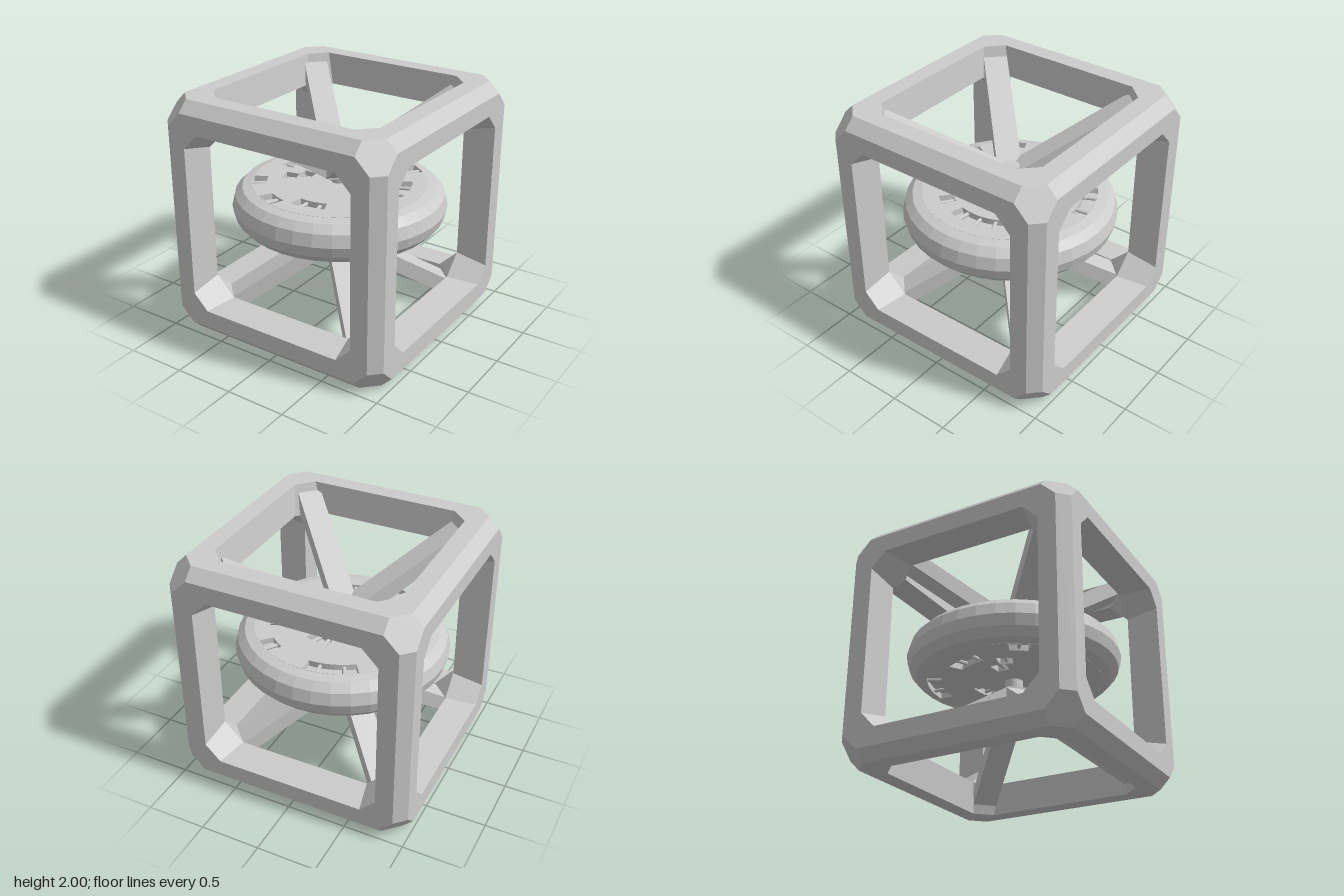
import * as THREE from 'three';

const mat = new THREE.MeshStandardMaterial({ color: 0xcccccc, flatShading: true });
const DEG = Math.PI / 180;

function addMesh(parent, name, geometry, x = 0, y = 0, z = 0) {
  const mesh = new THREE.Mesh(geometry, mat);
  mesh.name = name;
  mesh.position.set(x, y, z);
  parent.add(mesh);
  return mesh;
}

// Chamfered cube frame with an octagonal window through every side
function frameGeometry() {
  const out = [];
  // adds a convex polygon turned to face the direction "facing"
  const poly = (pts, facing) => {
    const v = pts.map((p) => new THREE.Vector3(...p));
    const n = v[1].clone().sub(v[0]).cross(v[2].clone().sub(v[0]));
    if (n.dot(new THREE.Vector3(...facing)) < 0) v.reverse();
    for (let i = 1; i < v.length - 1; i++) {
      for (const p of [v[0], v[i], v[i + 1]]) out.push(p.x, p.y, p.z);
    }
  };
  // puts (a, b, c) on the axes k, k+1, k+2
  const onAxis = (k, a, b, c) => {
    const p = [0, 0, 0];
    p[k] = a; p[(k + 1) % 3] = b; p[(k + 2) % 3] = c;
    return p;
  };
  const octagon = (k, h, a, b) =>
    [[a, b], [b, a], [-b, a], [-a, b], [-a, -b], [-b, -a], [b, -a], [a, -b]]
      .map(([u, w]) => onAxis(k, h, u, w));

  for (let k = 0; k < 3; k++) {
    for (const s of [1, -1]) {
      // face ring and window walls
      const outer = octagon(k, s, 0.91, 0.79);
      const rim = octagon(k, s, 0.76, 0.63);
      const inner = octagon(k, s * 0.735, 0.735, 0.57);
      for (let i = 0; i < 8; i++) {
        const j = (i + 1) % 8;
        poly([outer[i], outer[j], rim[j], rim[i]], onAxis(k, s, 0, 0));
        const m = rim[i].map((c, q) => -(c + rim[j][q]));
        m[k] = 0;
        poly([rim[i], rim[j], inner[j], inner[i]], m);
      }
      // edge chamfers
      for (const t of [1, -1]) {
        poly([onAxis(k, s, t * 0.91, 0.79), onAxis(k, s, t * 0.91, -0.79),
          onAxis(k, s * 0.91, t, -0.79), onAxis(k, s * 0.91, t, 0.79)], onAxis(k, s, t, 0));
      }
    }
  }
  // corner hexagons outside, corner triangles inside
  for (const sx of [1, -1]) for (const sy of [1, -1]) for (const sz of [1, -1]) {
    const sign = ([x, y, z]) => [x * sx, y * sy, z * sz];
    const a = 1, b = 0.91, c = 0.79;
    poly([[a, b, c], [b, a, c], [c, a, b], [c, b, a], [b, c, a], [a, c, b]].map(sign), [sx, sy, sz]);
    poly([0, 1, 2].map((k) => sign(onAxis(k, 0.57, 0.735, 0.735))), [-sx, -sy, -sz]);
  }
  const g = new THREE.BufferGeometry();
  g.setAttribute('position', new THREE.Float32BufferAttribute(out, 3));
  g.computeVertexNormals();
  return g;
}

// Diagonal strut drawn as a side profile; end is its reach along x and z
function strutGeometry(end, lower) {
  const slope = 0.83;
  const profile = [[0, 1.25], [0.05, 1.25], [end, 1.25 + slope * (end - 0.05)],
    [end, 1.36 + slope * end], [0, 1.36]];
  const shape = new THREE.Shape(profile.map(([d, y]) =>
    new THREE.Vector2(d * Math.SQRT2, lower ? 2 - y : y)));
  const g = new THREE.ExtrudeGeometry(shape, { depth: 0.2, bevelEnabled: false });
  return g.translate(0, 0, -0.1);
}

// Slots in the disc: ring inner radius, start and end angle in degrees
const SLOT_WIDTH = 0.12;
const slots = [
  [0.595, -126, -90], [0.595, -62, -48], [0.595, 104, 120], [0.595, 140, 154],
  [0.475, -31, 15], [0.475, 180, 210], [0.475, 68, 96], [0.475, 28, 40],
  [0.36, 152, 168], [0.24, -98, -62], [0.24, 13, 33], [0.24, 160, 182],
];

function slottedPlate() {
  const shape = new THREE.Shape().absarc(0, 0, 0.72, 0, Math.PI * 2, false);
  for (const [r, a0, a1] of slots) {
    const hole = new THREE.Path();
    hole.absarc(0, 0, r + 0.002, a0 * DEG, a1 * DEG, false);
    hole.absarc(0, 0, r + SLOT_WIDTH - 0.002, a1 * DEG, a0 * DEG, true);
    hole.closePath();
    shape.holes.push(hole);
  }
  const g = new THREE.ExtrudeGeometry(shape, { depth: 0.05, bevelEnabled: false, curveSegments: 36 });
  return g.rotateX(Math.PI / 2);
}

export function createModel() {
  const model = new THREE.Group();
  model.name = 'framedDisc';

  addMesh(model, 'frame', frameGeometry(), 0, 1, 0);

  // Struts from the hubs to the corners
  const struts = new THREE.Group();
  struts.name = 'struts';
  model.add(struts);
  for (const lower of [false, true]) {
    for (let k = 0; k < 4; k++) {
      const end = !lower && k === 1 ? 0.75 : 0.685;
      const strut = addMesh(struts, lower ? 'lowerStrut' : 'upperStrut', strutGeometry(end, lower), -0.02, 0, 0.02);
      strut.rotation.y = (45 + 90 * k) * DEG;
    }
  }

  addMesh(model, 'axle', new THREE.CylinderGeometry(0.075, 0.075, 0.82, 24), 0, 1, 0);

  // Disc: rounded rim, core and two slotted plates
  const disc = new THREE.Group();
  disc.name = 'disc';
  model.add(disc);
  const rim = [[0.715, 0.845], [0.8, 0.865], [0.86, 0.93], [0.885, 1.02], [0.86, 1.12], [0.8, 1.18], [0.715, 1.2]];
  addMesh(disc, 'rim', new THREE.LatheGeometry(rim.map(([r, y]) => new THREE.Vector2(r, y)), 36));
  addMesh(disc, 'core', new THREE.CylinderGeometry(0.715, 0.715, 0.255, 36), 0, 1.0225, 0);
  const plate = slottedPlate();
  addMesh(disc, 'topPlate', plate, 0, 1.2, 0);
  addMesh(disc, 'bottomPlate', plate, 0, 0.895, 0);

  // Radial bars lying in the slots
  const barGeometry = new THREE.CylinderGeometry(0.016, 0.016, SLOT_WIDTH, 8).rotateZ(Math.PI / 2);
  for (const [r, a0, a1] of slots) {
    const count = Math.max(1, Math.round((a1 - a0) / 15));
    for (let i = 0; i < count; i++) {
      const a = (a0 + (a1 - a0) * (i + 0.5) / count) * DEG;
      const mid = r + SLOT_WIDTH / 2;
      for (const y of [1.17, 0.875]) {
        const bar = addMesh(disc, 'slotBar', barGeometry, mid * Math.cos(a), y, mid * Math.sin(a));
        bar.rotation.y = -a;
      }
    }
  }
  return model;
}
